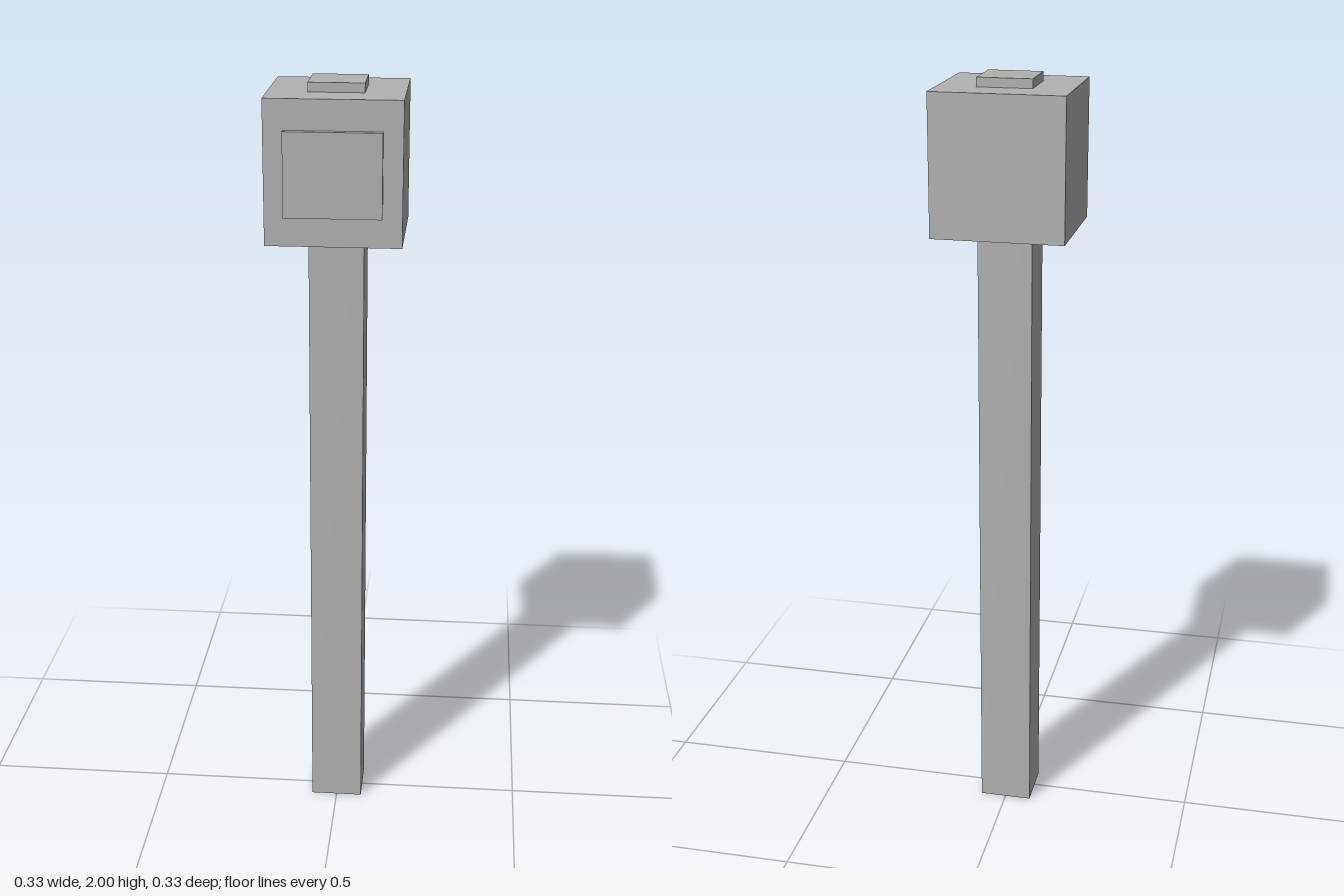
import * as THREE from 'three';

export function createModel() {
  const group = new THREE.Group();
  const grey = new THREE.MeshStandardMaterial({ color: 0xb2b2b2 });
  grey.name = 'grey';

  // Box given by its lower and upper corners
  function addBox(name, [x0, y0, z0], [x1, y1, z1]) {
    const mesh = new THREE.Mesh(new THREE.BoxGeometry(x1 - x0, y1 - y0, z1 - z0), grey);
    mesh.position.set((x0 + x1) / 2, (y0 + y1) / 2, (z0 + z1) / 2);
    mesh.name = name;
    group.add(mesh);
  }

  // Square post running through the head and showing as a cap on top
  addBox('post', [-0.069, 0, -0.074], [0.069, 2, 0.057]);
  // Block head
  addBox('head', [-0.167, 1.624, -0.167], [0.167, 1.977, 0.151]);
  // Raised panel on the front of the head
  addBox('facePanel', [-0.119, 1.697, 0.14], [0.119, 1.903, 0.167]);

  return group;
}
